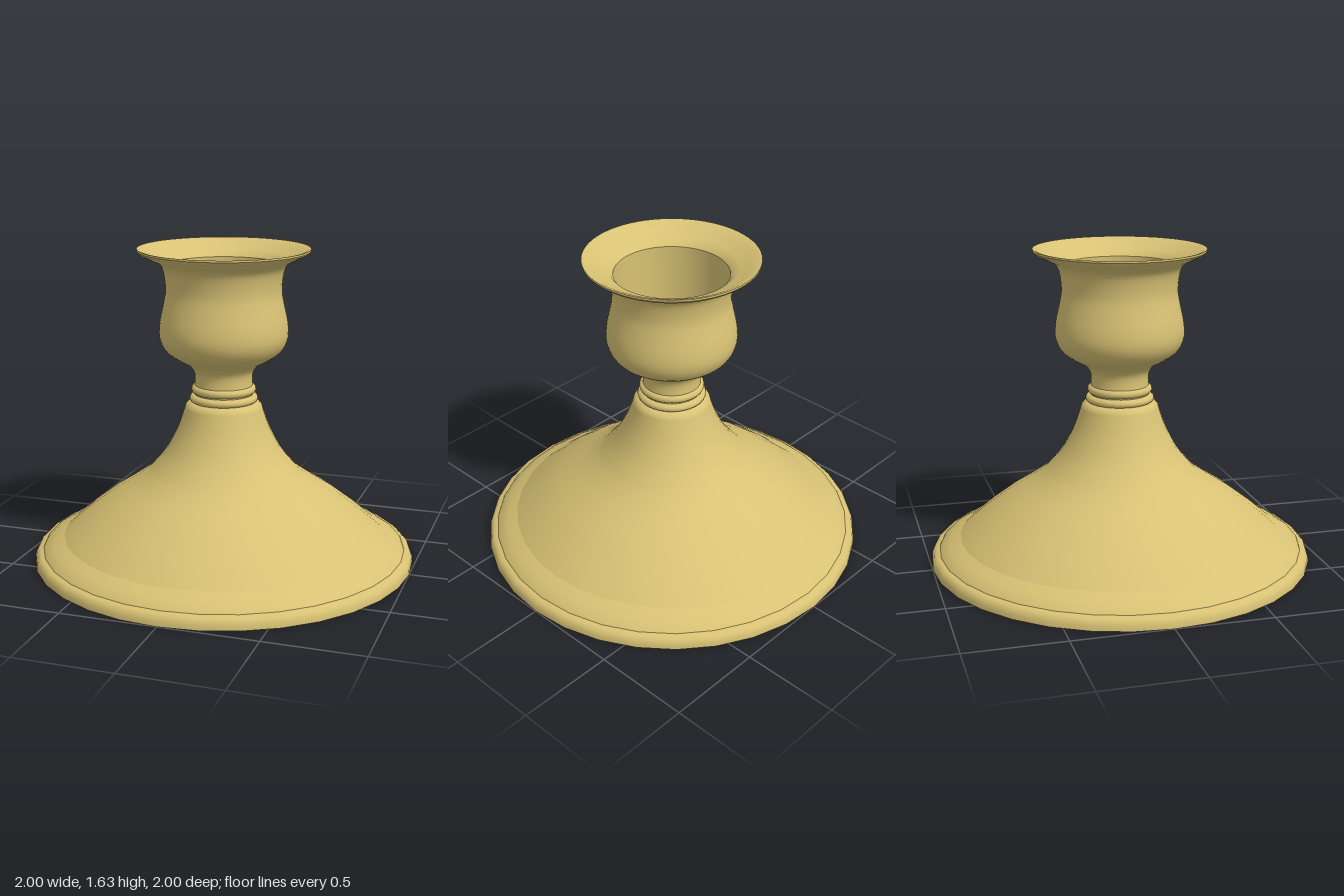
import * as THREE from 'three';
import { toCreasedNormals } from 'three/addons/utils/BufferGeometryUtils.js';

const brass = new THREE.MeshStandardMaterial({ color: 0xd8c274 });
brass.name = 'brass';

// Turned part from [radius, height] pairs listed bottom to top along the outside
function turned(name, profile, sides, crease = 0.6) {
  const points = profile.map(([r, y]) => new THREE.Vector2(r, y));
  const geometry = toCreasedNormals(new THREE.LatheGeometry(points, sides), crease);
  const mesh = new THREE.Mesh(geometry, brass);
  mesh.name = name;
  return mesh;
}

// Samples a smooth curve through the given profile points
function smooth(profile, count) {
  const curve = new THREE.SplineCurve(profile.map(([r, y]) => new THREE.Vector2(r, y)));
  return curve.getPoints(count).map((p) => [p.x, p.y]);
}

// Half-round bead standing out from the stem
function bead(inner, outer, bottom, top) {
  return Array.from({ length: 7 }, (_, i) => {
    const a = (i / 6) * Math.PI;
    return [inner + (outer - inner) * Math.sin(a),
      (bottom + top) / 2 - ((top - bottom) / 2) * Math.cos(a)];
  });
}

export function createModel() {
  const model = new THREE.Group();
  model.name = 'candlestick';

  // Wide foot with a closed underside and a stepped rim
  model.add(turned('foot', [
    [0, 0], [1, 0], [0.998, 0.025], [0.99, 0.045], [0.975, 0.058], [0.955, 0.062],
    [0.95, 0.07], [0.9, 0.103], [0.845, 0.13],
  ], 32));

  // Flared body rising to the stem
  model.add(turned('flare', [
    [0.845, 0.13], [0.73, 0.23], [0.6, 0.33], [0.5, 0.395],
    ...smooth([[0.4, 0.465], [0.31, 0.57], [0.245, 0.69], [0.212, 0.78], [0.2, 0.82]], 10),
    [0.185, 0.837], [0.16, 0.845],
  ], 32));

  // Two beads around the top of the stem
  model.add(turned('lowerBead', bead(0.15, 0.178, 0.838, 0.882), 32, 1));
  model.add(turned('upperBead', bead(0.145, 0.168, 0.886, 0.93), 32, 1));
  model.add(turned('stemCore', [[0.152, 0.83], [0.152, 0.925], [0, 0.925]], 32));

  // Cup: neck, bulb, waist and flared lip, then down inside to the socket floor
  model.add(turned('cup', [
    ...smooth([
      [0.15, 0.92], [0.15, 0.99], [0.18, 1.035], [0.24, 1.07], [0.3, 1.115],
      [0.33, 1.18], [0.328, 1.26], [0.307, 1.36], [0.297, 1.43], [0.308, 1.52],
      [0.335, 1.562], [0.39, 1.592], [0.432, 1.614],
    ], 40),
    [0.441, 1.625], [0.441, 1.635], [0.425, 1.632],
    [0.385, 1.61], [0.335, 1.585], [0.305, 1.57], [0.288, 1.55],
    [0.288, 1.12], [0, 1.12],
  ], 64));

  return model;
}
